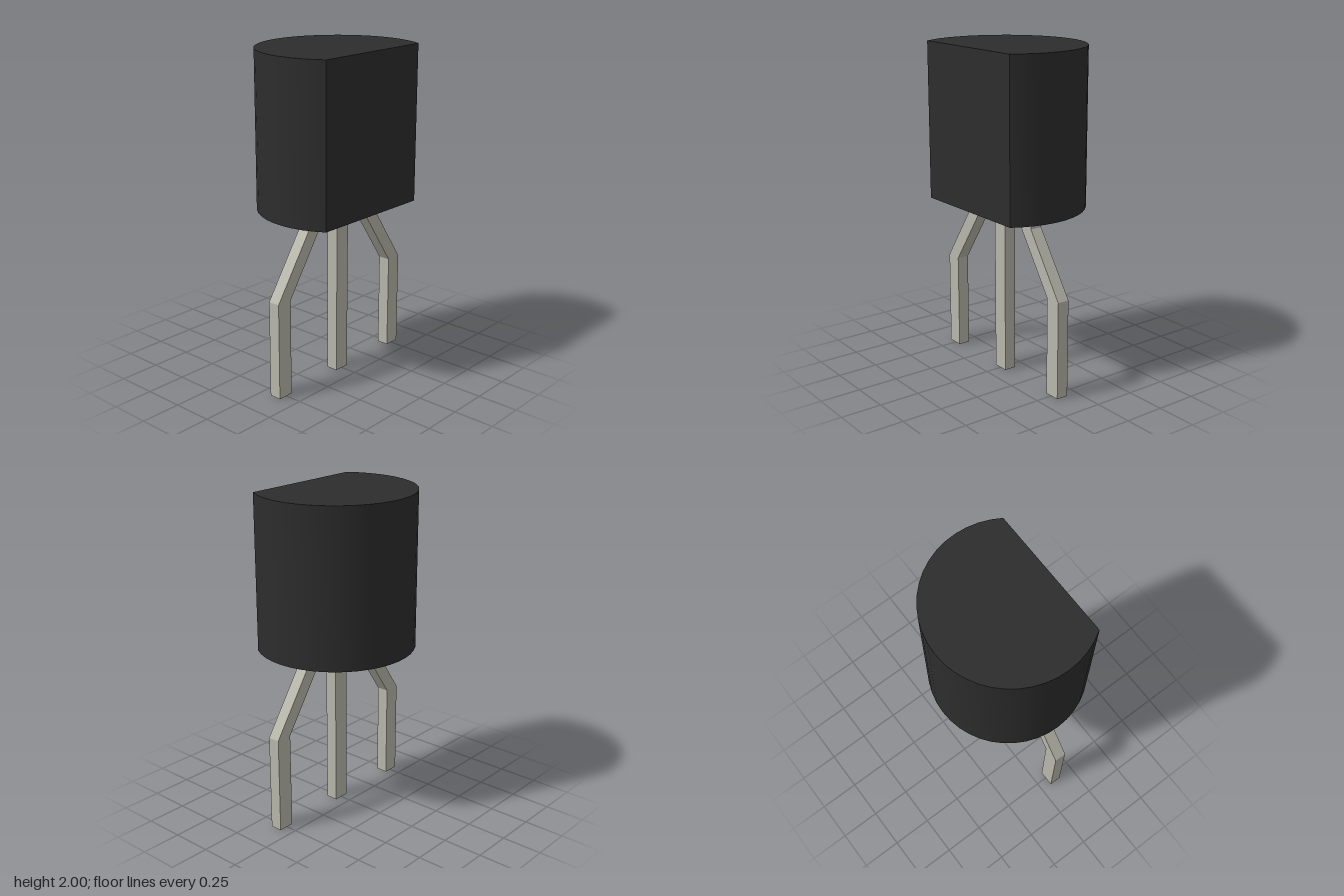
import * as THREE from 'three';
import { toCreasedNormals } from 'three/addons/utils/BufferGeometryUtils.js';

const AXIS_Z = 0.108; // z of the body's round axis and of the leg row

export function createModel() {
  const group = new THREE.Group();
  group.name = 'transistor';

  const plastic = new THREE.MeshStandardMaterial({ color: 0x2d2d2d });
  plastic.name = 'black plastic';
  const metal = new THREE.MeshStandardMaterial({ color: 0xb8b8ac });
  metal.name = 'tinned metal';

  // Body: a cylinder cut by a flat front face
  const radius = 0.483, bottom = 1.045, top = 2, steps = 30;
  const cut = Math.asin(0.264 / radius);
  const outline = [];
  for (let i = 0; i <= steps; i++) {
    const a = -cut + (i / steps) * (Math.PI + 2 * cut);
    outline.push(new THREE.Vector2(radius * Math.cos(a), radius * Math.sin(a)));
  }
  const bodyGeometry = new THREE.ExtrudeGeometry(new THREE.Shape(outline), {
    depth: top - bottom, bevelEnabled: false,
  });
  bodyGeometry.rotateX(-Math.PI / 2);
  bodyGeometry.translate(0, bottom, AXIS_Z);
  const body = new THREE.Mesh(toCreasedNormals(bodyGeometry, Math.PI / 6), plastic);
  body.name = 'body';
  group.add(body);

  // Legs: flat strips; path points are [centre x, y] from bottom to top
  const width = 0.1, depth = 0.075;
  const addLeg = (name, path) => {
    const right = path.map(([x, y]) => new THREE.Vector2(x + width / 2, y));
    const left = path.map(([x, y]) => new THREE.Vector2(x - width / 2, y)).reverse();
    const geometry = new THREE.ExtrudeGeometry(new THREE.Shape([...right, ...left]), {
      depth, bevelEnabled: false,
    });
    geometry.translate(0, 0, AXIS_Z - depth / 2);
    const leg = new THREE.Mesh(geometry, metal);
    leg.name = name;
    group.add(leg);
  };
  addLeg('middleLeg', [[0, 0], [0, bottom]]);
  for (const [name, s] of [['leftLeg', 1], ['rightLeg', -1]]) {
    addLeg(name, [[s * 0.506, 0], [s * 0.506, 0.595], [s * 0.252, 0.97], [s * 0.252, bottom]]);
  }

  return group;
}
